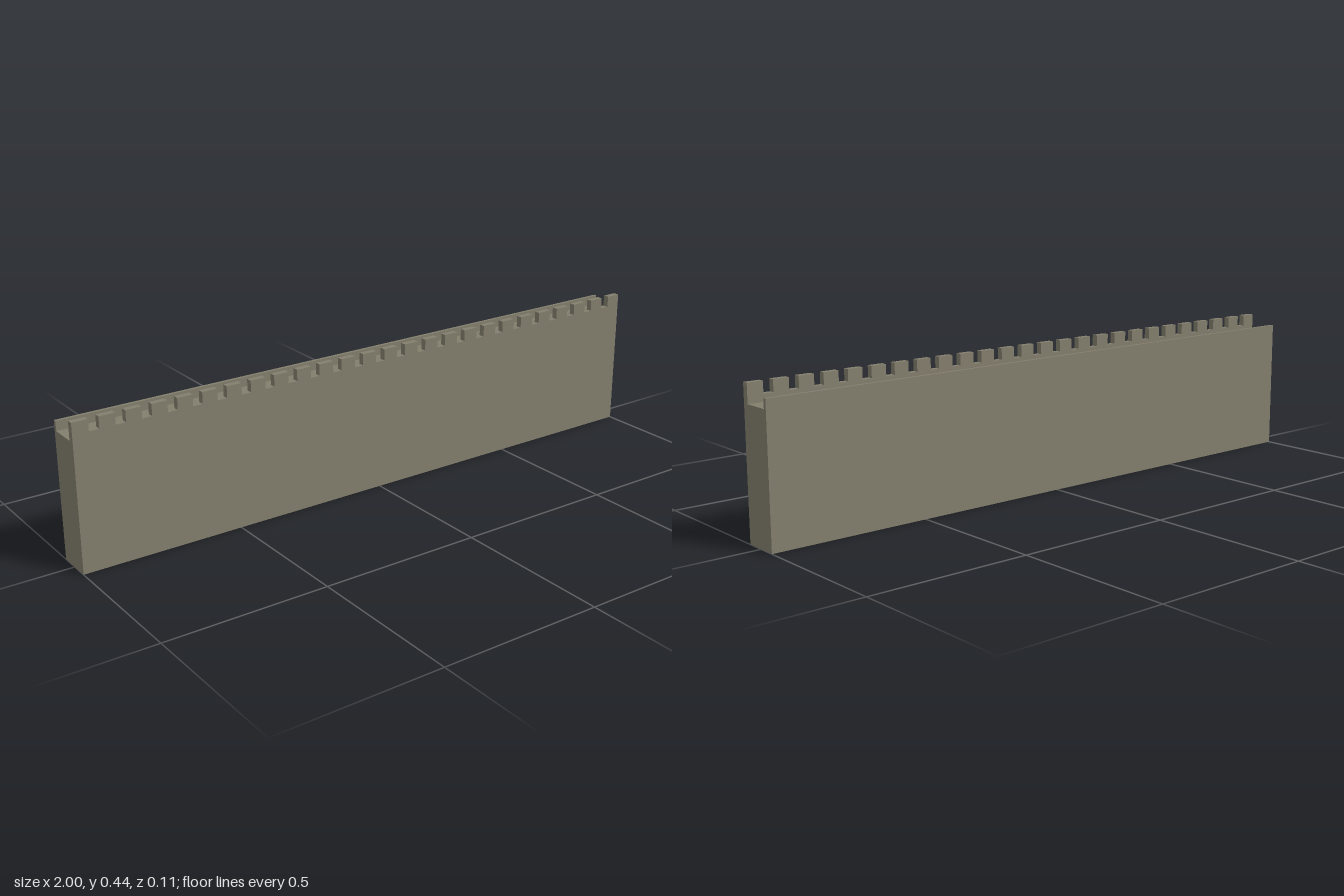
import * as THREE from 'three';

const HALF = 1, DEPTH = 0.0565;            // half length, half thickness
const TOP = 0.445, NOTCH = 0.41;           // merlon top, crenel bottom
const WALK = 0.388, REAR = 0.417;          // walkway floor, rear kerb top
const PARAPET_Z = 0.0375, KERB_Z = -0.0465;
const MERLONS = 26, MERLON_W = 0.048;

const stone = new THREE.MeshStandardMaterial({ color: 0x837e6d, side: THREE.DoubleSide });
stone.name = 'grey brown stone';

// Flat-shaded ribbon of quads joining two matching rails
function ribbon(railA, railB) {
  const pos = [];
  for (let i = 0; i < railA.length - 1; i++) {
    const a = railA[i], b = railA[i + 1], c = railB[i + 1], d = railB[i];
    pos.push(...a, ...b, ...c, ...a, ...c, ...d);
  }
  const g = new THREE.BufferGeometry();
  g.setAttribute('position', new THREE.Float32BufferAttribute(pos, 3));
  g.computeVertexNormals();
  return g;
}

function panel(points) {
  return new THREE.ShapeGeometry(new THREE.Shape(points.map(([x, y]) => new THREE.Vector2(x, y))));
}

export function createModel() {
  const model = new THREE.Group();
  model.name = 'battlementWall';
  const add = (name, geometry) => {
    const mesh = new THREE.Mesh(geometry, stone);
    mesh.name = name;
    model.add(mesh);
  };

  // Crenellated top line, left to right
  const crown = [];
  const pitch = (2 * HALF - MERLON_W) / (MERLONS - 1);
  for (let i = 0; i < MERLONS; i++) {
    const x0 = -HALF + i * pitch, x1 = x0 + MERLON_W;
    if (i > 0) crown.push([x0, NOTCH]);
    crown.push([x0, TOP], [x1, TOP]);
    if (i < MERLONS - 1) crown.push([x1, NOTCH]);
  }

  // Front face and the inner face of the parapet
  add('frontFace', panel([...crown, [HALF, 0], [-HALF, 0]]).translate(0, 0, DEPTH));
  add('parapetInnerFace',
    panel([...crown, [HALF, WALK], [-HALF, WALK]]).rotateY(Math.PI).translate(0, 0, PARAPET_Z));

  // Tops and cheeks of the merlons and crenels
  add('merlonTops', ribbon(
    crown.map(([x, y]) => [x, y, DEPTH]),
    crown.map(([x, y]) => [x, y, PARAPET_Z])));

  // Walkway, rear kerb and back face, as one section run along the wall
  const section = [[PARAPET_Z, WALK], [KERB_Z, WALK], [KERB_Z, REAR], [-DEPTH, REAR], [-DEPTH, 0]];
  add('walkwayAndBack', ribbon(
    section.map(([z, y]) => [HALF, y, z]),
    section.map(([z, y]) => [-HALF, y, z])));

  // End faces; the underside stays open
  const profile = [[DEPTH, 0], [DEPTH, TOP], [PARAPET_Z, TOP], ...section];
  for (const s of [1, -1]) {
    add(s > 0 ? 'leftEnd' : 'rightEnd',
      panel(profile.map(([z, y]) => [-s * z, y])).rotateY(s * Math.PI / 2).translate(s * HALF, 0, 0));
  }
  return model;
}
